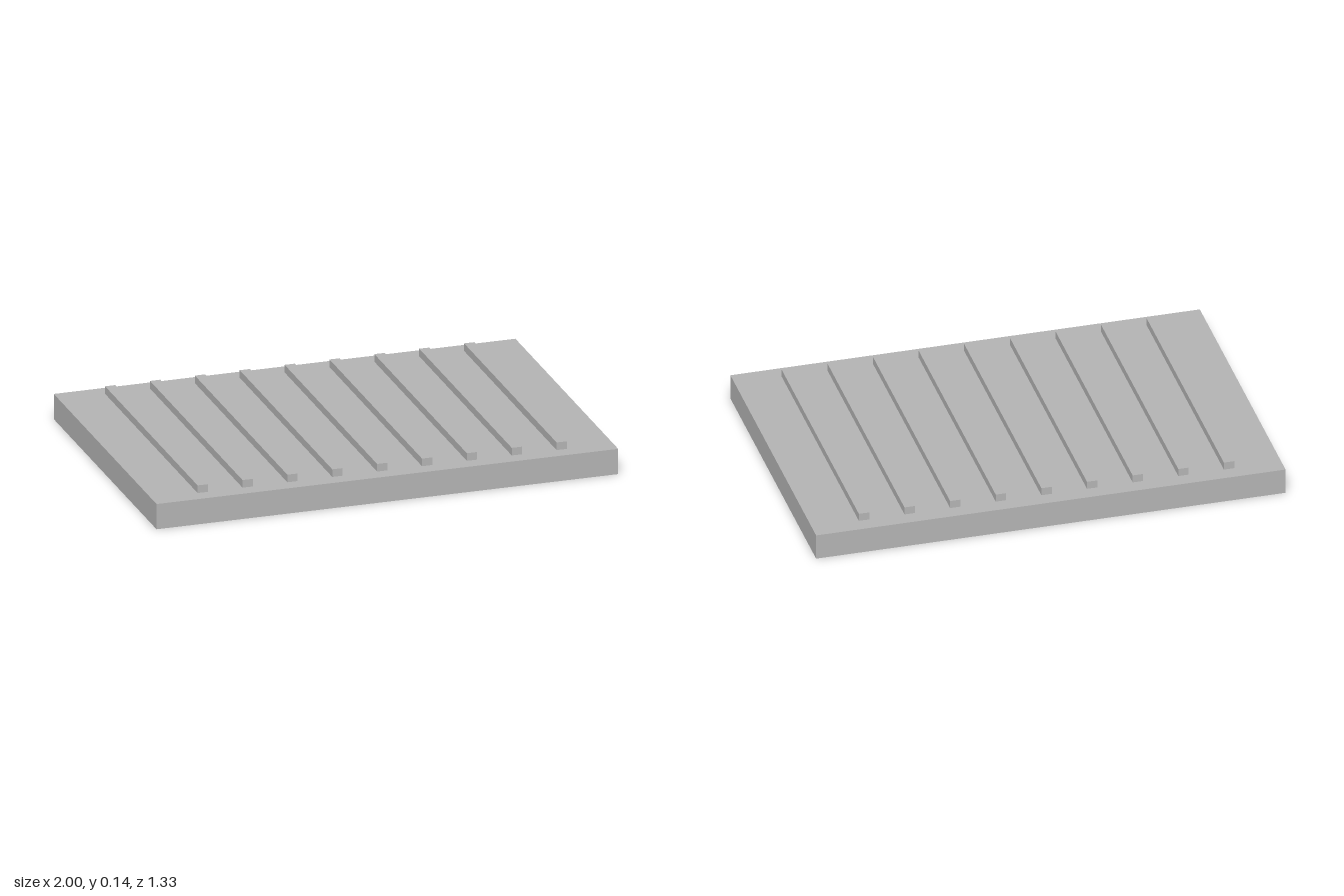
import * as THREE from 'three';

export function createModel() {
  const model = new THREE.Group();
  model.name = 'ribbedSlab';
  const grey = new THREE.MeshStandardMaterial({ color: 0xb3b3b3 });
  grey.name = 'grey';

  const slabHeight = 0.111, ribHeight = 0.0335, ribCount = 9, spacing = 0.1944;

  // Flat base slab
  const slab = new THREE.Mesh(new THREE.BoxGeometry(2, slabHeight, 1.333), grey);
  slab.name = 'slab';
  slab.position.y = slabHeight / 2;
  model.add(slab);

  // Evenly spaced ribs running front to back
  const ribGeometry = new THREE.BoxGeometry(0.0444, ribHeight, 1.2);
  for (let i = 0; i < ribCount; i++) {
    const rib = new THREE.Mesh(ribGeometry, grey);
    rib.name = `rib${i + 1}`;
    rib.position.set((i - (ribCount - 1) / 2) * spacing, slabHeight + ribHeight / 2, 0);
    model.add(rib);
  }
  return model;
}
